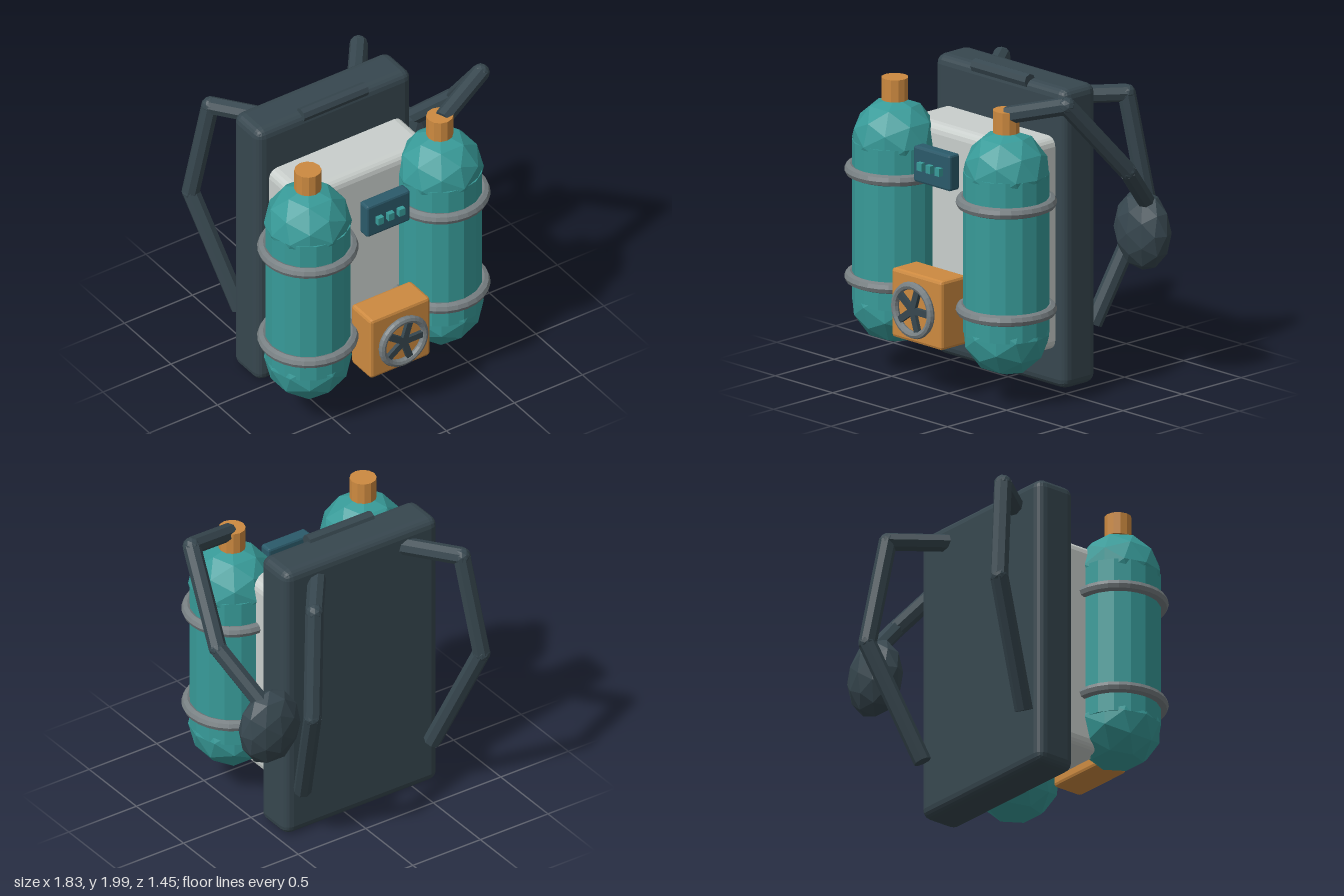
import * as THREE from 'three';
import { RoundedBoxGeometry } from 'three/addons/geometries/RoundedBoxGeometry.js';

const mat = (name, color) => {
  const m = new THREE.MeshStandardMaterial({ color });
  m.name = name;
  return m;
};

export function createModel() {
  const root = new THREE.Group();
  root.name = 'backpack';
  const slate = mat('dark slate', 0x37474f);
  const white = mat('pale grey', 0xc9cfcc);
  const teal = mat('teal', 0x389b99);
  const orange = mat('orange', 0xcd8a40);
  const metal = mat('metal grey', 0x788083);
  const blue = mat('deep blue', 0x2b5a6a);
  const MID = -0.11; // middle of the pack

  // Faceted mesh with one normal per face
  function add(parent, name, geometry, material, x = 0, y = 0, z = 0) {
    const g = geometry.index ? geometry.toNonIndexed() : geometry;
    g.computeVertexNormals();
    const mesh = new THREE.Mesh(g, material);
    mesh.name = name;
    mesh.position.set(x, y, z);
    parent.add(mesh);
    return mesh;
  }
  function group(name) {
    const g = new THREE.Group();
    g.name = name;
    root.add(g);
    return g;
  }
  const box = (w, h, d, r, s = 2) => new RoundedBoxGeometry(w, h, d, s, r);

  // Straight pipe pieces joined by round elbows
  function pipe(name, points, r) {
    const g = group(name);
    const p = points.map((a) => new THREE.Vector3(...a));
    for (let i = 0; i < p.length - 1; i++) {
      const dir = p[i + 1].clone().sub(p[i]);
      const c = p[i].clone().add(p[i + 1]).multiplyScalar(0.5);
      const seg = add(g, 'segment', new THREE.CylinderGeometry(r, r, dir.length(), 8), slate, c.x, c.y, c.z);
      seg.quaternion.setFromUnitVectors(new THREE.Vector3(0, 1, 0), dir.normalize());
      if (i > 0) add(g, 'elbow', new THREE.IcosahedronGeometry(r, 1), slate, p[i].x, p[i].y, p[i].z);
    }
  }

  // Back plate, front body and carry handle
  add(root, 'backPlate', box(1.14, 1.9, 0.28, 0.06), slate, MID, 0.957, -0.17);
  add(root, 'body', box(0.98, 1.35, 0.4, 0.06), white, MID, 0.925, 0.1);
  add(root, 'handle', new THREE.CylinderGeometry(0.044, 0.044, 0.475, 8), slate, MID, 1.896, -0.06)
    .rotation.z = Math.PI / 2;

  // Two tanks with domes, bands and valve caps
  for (const side of [-1, 1]) {
    const g = group(side > 0 ? 'leftTank' : 'rightTank');
    g.position.set(MID + side * 0.485, 0, 0.38);
    add(g, 'cylinder', new THREE.CylinderGeometry(0.262, 0.262, 1.016, 16), teal, 0, 0.958, 0);
    for (const y of [0.45, 1.466]) {
      add(g, 'dome', new THREE.IcosahedronGeometry(0.268, 1), teal, 0, y, 0);
    }
    for (const y of [0.6, 1.28]) {
      add(g, 'band', new THREE.TorusGeometry(0.273, 0.036, 8, 28), metal, 0, y, 0).rotation.x = Math.PI / 2;
    }
    add(g, 'valveCap', new THREE.CylinderGeometry(0.083, 0.083, 0.14, 12), orange, 0, 1.79, 0);
  }

  // Control panel with three lamps
  add(root, 'panel', box(0.32, 0.23, 0.085, 0.015, 1), blue, MID, 1.415, 0.5);
  for (const i of [-1, 0, 1]) {
    add(root, 'lamp', new THREE.BoxGeometry(0.043, 0.05, 0.033), teal, MID + i * 0.078, 1.415, 0.557);
  }

  // Lower box with the valve wheel
  add(root, 'valveBox', box(0.44, 0.44, 0.215, 0.02, 1), orange, MID, 0.55, 0.562);
  const wheel = group('valveWheel');
  wheel.position.set(MID, 0.55, 0.7);
  add(wheel, 'rim', new THREE.TorusGeometry(0.155, 0.024, 8, 28), metal);
  for (let i = 0; i < 5; i++) {
    const a = (i * Math.PI * 2) / 5;
    add(wheel, 'spoke', new THREE.BoxGeometry(0.15, 0.042, 0.025), slate,
      Math.cos(a) * 0.075, Math.sin(a) * 0.075, 0).rotation.z = a;
  }

  // Hose from the left valve round to the mouthpiece bulb
  pipe('hose', [[0.39, 1.83, 0.385], [0.765, 1.94, 0.25], [0.865, 1.46, -0.17], [0.735, 1.16, -0.47]], 0.056);
  add(root, 'bulb', new THREE.IcosahedronGeometry(1, 1).scale(0.21, 0.255, 0.138), slate, 0.69, 0.99, -0.468);

  // Mirrored shoulder straps behind the plate
  for (const side of [-1, 1]) {
    pipe(side > 0 ? 'leftStrap' : 'rightStrap',
      [[0.31, 1.78, -0.27], [0.545, 1.78, -0.58], [0.625, 1.1, -0.675], [0.48, 0.35, -0.36]]
        .map(([x, y, z]) => [MID + side * x, y, z]), 0.056);
  }
  return root;
}
